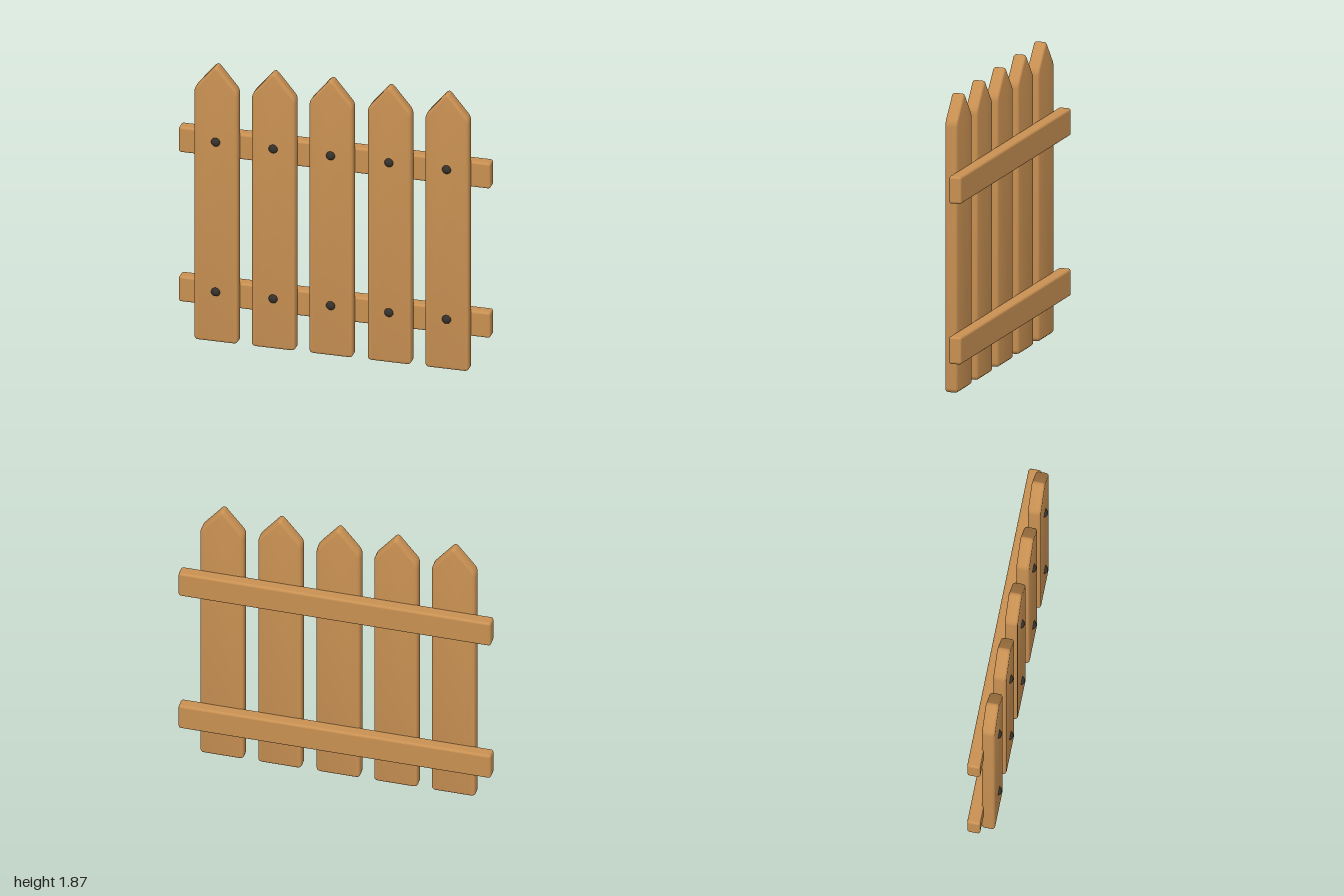
import * as THREE from 'three';
import { toCreasedNormals } from 'three/addons/utils/BufferGeometryUtils.js';
import { RoundedBoxGeometry } from 'three/addons/geometries/RoundedBoxGeometry.js';

const PICKET_X = [-0.742, -0.373, -0.004, 0.37, 0.74];
const RAIL_Y = [0.304, 1.322];
const NAIL_Y = [0.347, 1.369];

// Closed outline with every corner softened by a short curve
function roundedOutline(points, radius) {
  const shape = new THREE.Shape();
  points.forEach((p, i) => {
    const prev = points[(i + points.length - 1) % points.length];
    const next = points[(i + 1) % points.length];
    const a = p.clone().add(prev.clone().sub(p).setLength(radius));
    const b = p.clone().add(next.clone().sub(p).setLength(radius));
    if (i === 0) shape.moveTo(a.x, a.y);
    else shape.lineTo(a.x, a.y);
    shape.quadraticCurveTo(p.x, p.y, b.x, b.y);
  });
  shape.closePath();
  return shape;
}

// Pointed board with rounded edges
function picketGeometry() {
  const outline = [
    [-0.14, 0.004], [0.14, 0.004], [0.14, 1.718], [0, 1.888], [-0.14, 1.718],
  ].map(([x, y]) => new THREE.Vector2(x, y));
  const bevel = 0.018;
  const geometry = new THREE.ExtrudeGeometry(roundedOutline(outline, 0.028), {
    depth: 0.082 - 2 * bevel,
    bevelSize: bevel,
    bevelThickness: bevel,
    bevelOffset: -bevel,
    bevelSegments: 3,
    curveSegments: 4,
  });
  geometry.translate(0, 0, -0.016 + bevel);
  return toCreasedNormals(geometry, 0.8);
}

export function createModel() {
  const fence = new THREE.Group();
  fence.name = 'picketFence';

  const wood = new THREE.MeshStandardMaterial({ color: 0xc89052 });
  wood.name = 'wood';
  const iron = new THREE.MeshStandardMaterial({ color: 0x35302b });
  iron.name = 'darkIron';

  const add = (geometry, material, name, x, y, z) => {
    const mesh = new THREE.Mesh(geometry, material);
    mesh.name = name;
    mesh.position.set(x, y, z);
    fence.add(mesh);
  };

  // Horizontal rails behind the pickets
  const rail = new RoundedBoxGeometry(2, 0.174, 0.082, 3, 0.016);
  RAIL_Y.forEach((y, i) => add(rail, wood, i ? 'upperRail' : 'lowerRail', 0, y, -0.044));

  // Pickets, each held by two round nail heads
  const picket = picketGeometry();
  const nail = new THREE.SphereGeometry(0.03, 16, 12);
  nail.scale(1, 1, 0.85);
  PICKET_X.forEach((x, i) => {
    add(picket, wood, `picket${i + 1}`, x, 0, 0);
    NAIL_Y.forEach((y, j) =>
      add(nail, iron, `${j ? 'upper' : 'lower'}Nail${i + 1}`, x, y, 0.06));
  });

  return fence;
}
